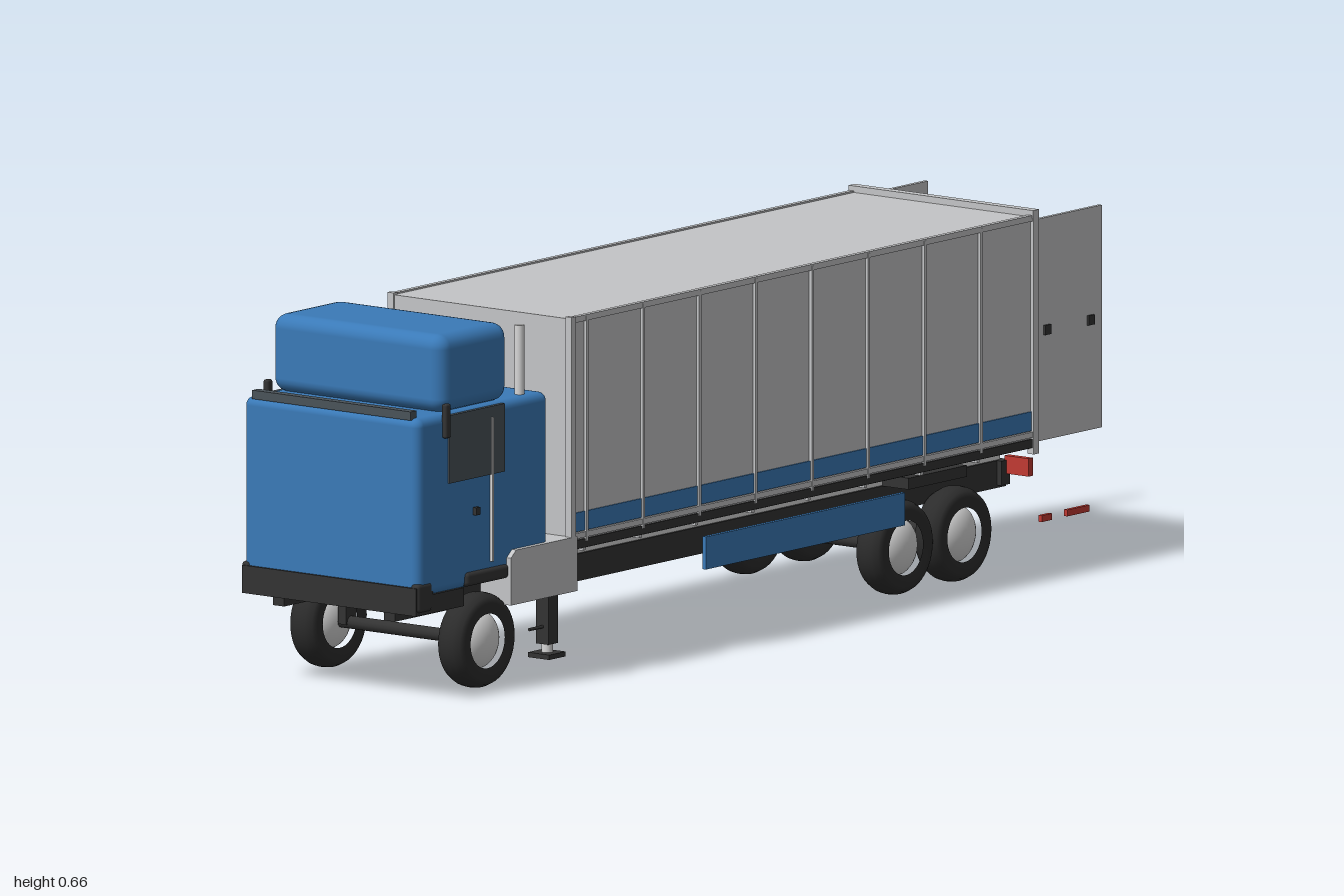
import * as THREE from 'three';
import { RoundedBoxGeometry } from 'three/addons/geometries/RoundedBoxGeometry.js';

const mat = (name, color) => {
  const m = new THREE.MeshStandardMaterial({ color });
  m.name = name;
  return m;
};

export function createModel() {
  const truck = new THREE.Group();
  truck.name = 'boxTruck';

  const blue = mat('bluePaint', 0x3a7ab8);
  const grey = mat('greyPanel', 0xc4c5c7);
  const silver = mat('silverMetal', 0xd8d8d8);
  const black = mat('blackPlastic', 0x333333);
  const rubber = mat('rubber', 0x2c2c2c);
  const glass = mat('darkGlass', 0x4a5359);
  const floorMat = mat('darkFloor', 0x2c3336);
  const red = mat('redLamp', 0xc23a33);

  const add = (name, geo, material, x = 0, y = 0, z = 0) => {
    const mesh = new THREE.Mesh(geo, material);
    mesh.name = name;
    mesh.position.set(x, y, z);
    truck.add(mesh);
    return mesh;
  };
  // Box given by its limits on each axis, optionally rounded
  const box = (name, material, [x0, x1], [y0, y1], [z0, z1], r = 0) => {
    const size = [x1 - x0, y1 - y0, z1 - z0];
    const geo = r ? new RoundedBoxGeometry(...size, 3, r) : new THREE.BoxGeometry(...size);
    return add(name, geo, material, (x0 + x1) / 2, (y0 + y1) / 2, (z0 + z1) / 2);
  };
  // The same box on both sides, x measured outward from the middle
  const pair = (name, material, [x0, x1], y, z, r = 0) => {
    box(name + 'Left', material, [x0, x1], y, z, r);
    box(name + 'Right', material, [-x1, -x0], y, z, r);
  };

  // Cab
  box('cabBody', blue, [-0.202, 0.202], [0.195, 0.523], [0.613, 0.995], 0.016);
  box('roofFairing', blue, [-0.198, 0.198], [0.522, 0.665], [0.722, 0.922], 0.026);
  box('sunVisor', glass, [-0.182, 0.182], [0.52, 0.536], [0.975, 0.993]);
  box('frontBumper', black, [-0.2, 0.2], [0.163, 0.214], [0.95, 1]);
  pair('bumperCorner', black, [0.185, 0.204], [0.168, 0.221], [0.955, 0.998], 0.007);
  pair('bumperSide', black, [0.18, 0.2], [0.163, 0.197], [0.86, 0.96]);
  pair('sideWindow', glass, [0.198, 0.2055], [0.395, 0.52], [0.747, 0.908]);
  pair('windowPost', silver, [0.2, 0.2075], [0.235, 0.5], [0.781, 0.786]);
  pair('doorHandle', black, [0.2, 0.21], [0.327, 0.341], [0.824, 0.836]);
  pair('mirror', black, [0.199, 0.211], [0.48, 0.543], [0.91, 0.925], 0.004);
  pair('frontFender', black, [0.14, 0.208], [0.198, 0.224], [0.735, 0.86], 0.008);
  add('exhaustStack', new THREE.CylinderGeometry(0.009, 0.009, 0.15, 16), silver, 0.177, 0.575, 0.668);

  // Chassis with cross members
  pair('chassisRail', black, [0.115, 0.14], [0.145, 0.195], [-0.8, 0.985]);
  for (let i = 0; i < 11; i++) {
    const z = 0.9 - i * 0.165;
    box('crossMember', black, [-0.116, 0.116], [0.16, 0.185], [z - 0.008, z + 0.008]);
  }
  pair('bodyBearer', silver, [0.115, 0.135], [0.195, 0.224], [-0.79, 0.55]);
  pair('sideSkirt', blue, [0.195, 0.203], [0.132, 0.192], [-0.426, 0.156]);
  pair('rearFender', black, [0.14, 0.2], [0.195, 0.216], [-0.61, -0.44]);
  box('rearBeam', black, [-0.15, 0.15], [0.15, 0.195], [-0.8, -0.775]);
  pair('rearLamp', red, [0.145, 0.2], [0.17, 0.203], [-0.803, -0.79]);
  for (const z of [[-0.855, -0.825], [-0.965, -0.9]]) {
    pair('reflector', red, [0.195, 0.203], [0.082, 0.094], z);
  }

  // Equipment box with a sloped upper front edge, on the left only
  const boxShape = new THREE.Shape([
    [-0.737, 0.148], [-0.543, 0.148], [-0.543, 0.248], [-0.722, 0.248], [-0.737, 0.235],
  ].map(([x, y]) => new THREE.Vector2(x, y)));
  const equipment = add('equipmentBox',
    new THREE.ExtrudeGeometry(boxShape, { depth: 0.07, bevelEnabled: false }), grey, 0.142);
  equipment.rotation.y = Math.PI / 2;

  // Air tanks with domed ends, on the right only
  for (const [z, length] of [[0.382, 0.15], [0.187, 0.165]]) {
    const tank = add('airTank', new THREE.CapsuleGeometry(0.032, length - 0.03, 6, 20), silver, -0.168, 0.134, z);
    tank.geometry.scale(1, length / (length + 0.034), 1);
    tank.rotation.x = Math.PI / 2;
  }

  // Support legs
  pair('legPost', black, [0.07, 0.099], [0.028, 0.15], [0.457, 0.484]);
  pair('legFoot', black, [0.06, 0.109], [0.003, 0.012], [0.447, 0.495]);
  for (const s of [-1, 1]) {
    add('legPiston', new THREE.CylinderGeometry(0.01, 0.01, 0.03, 14), silver, s * 0.085, 0.021, 0.47);
    const crank = add('legCrank', new THREE.CylinderGeometry(0.003, 0.003, 0.04, 8), black, s * 0.085, 0.06, 0.503);
    crank.rotation.x = Math.PI / 2;
  }

  // Wheels: rounded tyre and a domed hub showing on both faces
  const tyreGeo = new THREE.LatheGeometry([
    [0.05, -0.026], [0.07, -0.029], [0.08, -0.025], [0.086, -0.013], [0.0875, 0],
    [0.086, 0.013], [0.08, 0.025], [0.07, 0.029], [0.05, 0.026],
  ].map(([x, y]) => new THREE.Vector2(x, y)), 40);
  const hubGeo = new THREE.SphereGeometry(0.054, 32, 16).scale(1, 0.58, 1);
  for (const z of [0.785, -0.437, -0.608]) {
    for (const s of [-1, 1]) {
      for (const [name, geo, m] of [['tyre', tyreGeo, rubber], ['hub', hubGeo, silver]]) {
        add(name, geo, m, s * 0.17, 0.088, z).rotation.z = Math.PI / 2;
      }
    }
    const axle = add('axle', new THREE.CylinderGeometry(0.012, 0.012, 0.3, 12), black, 0, 0.088, z);
    axle.rotation.z = Math.PI / 2;
    pair('axleMount', black, [0.118, 0.136], [0.085, 0.15], [z - 0.015, z + 0.015]);
  }

  // Cargo box
  box('cargoBody', grey, [-0.205, 0.205], [0.232, 0.648], [-0.797, 0.556]);
  box('cargoFloor', floorMat, [-0.203, 0.203], [0.222, 0.232], [-0.795, 0.55]);
  pair('blueStripe', blue, [0.203, 0.2075], [0.255, 0.29], [-0.793, 0.55]);
  pair('sideRail', grey, [0.204, 0.21], [0.243, 0.253], [-0.795, 0.555]);
  pair('lowerRail', black, [0.2, 0.209], [0.224, 0.24], [-0.795, 0.55]);
  pair('topRail', grey, [0.2, 0.21], [0.64, 0.651], [-0.795, 0.555]);
  pair('frontPost', grey, [0.198, 0.212], [0.212, 0.652], [0.548, 0.56]);
  pair('rearPost', grey, [0.198, 0.212], [0.212, 0.655], [-0.806, -0.79]);
  box('rearHeader', grey, [-0.212, 0.212], [0.645, 0.66], [-0.806, -0.788]);
  for (let i = 0; i < 8; i++) {
    const z = 0.512 - i * 0.1645;
    pair('sideRib', grey, [0.203, 0.211], [0.235, 0.648], [z - 0.003, z + 0.003]);
    box('floorBearer', grey, [-0.203, 0.203], [0.217, 0.223], [z - 0.004, z + 0.004]);
  }

  // Rear doors, standing open straight back
  pair('rearDoor', grey, [0.196, 0.204], [0.232, 0.64], [-1, -0.8]);
  for (const z of [-0.838, -0.965]) {
    pair('doorLatch', black, [0.202, 0.208], [0.425, 0.443], [z - 0.009, z + 0.009]);
    pair('lockBar', black, [0.19, 0.197], [0.265, 0.61], [z - 0.005, z + 0.005]);
  }

  return truck;
}
